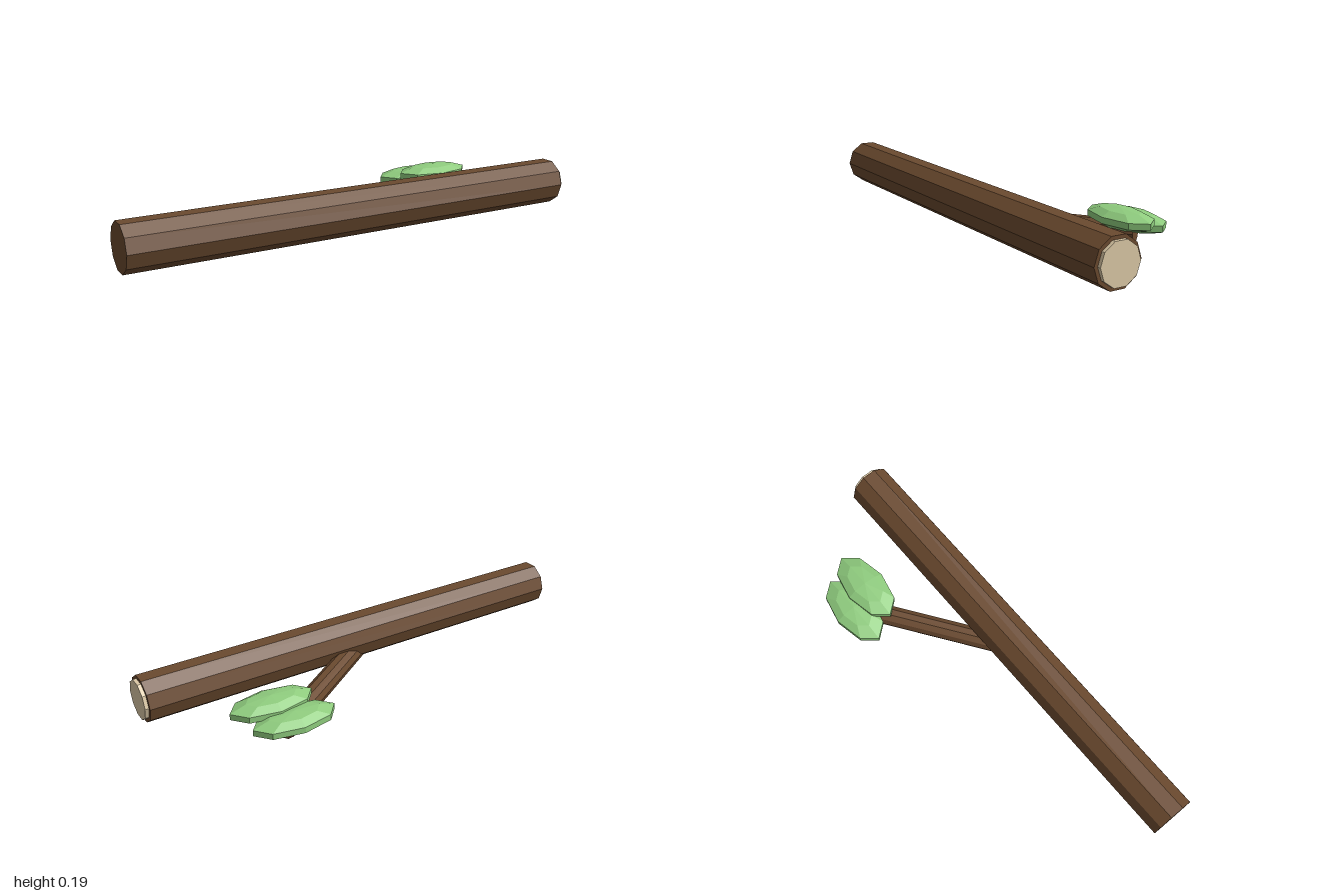
import * as THREE from 'three';

export function createModel() {
  const group = new THREE.Group();
  const material = (name, color) => {
    const m = new THREE.MeshStandardMaterial({ color, flatShading: true });
    m.name = name;
    return m;
  };
  const bark = material('bark brown', 0x6b4a2f);
  const cutWood = material('cut wood cream', 0xdcc9a6);
  const leafGreen = material('leaf green', 0x8fcc7e);

  const add = (name, geometry, mat, x, y, z) => {
    const mesh = new THREE.Mesh(geometry, mat);
    mesh.name = name;
    mesh.position.set(x, y, z);
    group.add(mesh);
    return mesh;
  };
  // Ten-sided log lying along x
  const log = (radius, length) =>
    new THREE.CylinderGeometry(radius, radius, length, 10).rotateZ(-Math.PI / 2);

  // Trunk and the pale cut face on its left end
  add('trunk', log(0.0985, 1.985), bark, -0.0075, 0.0985, 0.2115);
  add('cutFace', log(0.084, 0.03), cutWood, 0.985, 0.0985, 0.2115);

  // Side branch reaching backwards along the ground
  const branch = add('branch', log(0.0447, 0.696), bark, 0.2925, 0.0427, -0.0045);
  branch.rotation.y = 0.614;

  // Flattened leaf clumps at the branch tip
  const leaf = new THREE.SphereGeometry(1, 8, 5).scale(0.184, 0.04, 0.0925);
  add('frontLeaf', leaf, leafGreen, 0.585, 0.115, -0.121);
  add('backLeaf', leaf, leafGreen, 0.54, 0.0825, -0.221);

  return group;
}
